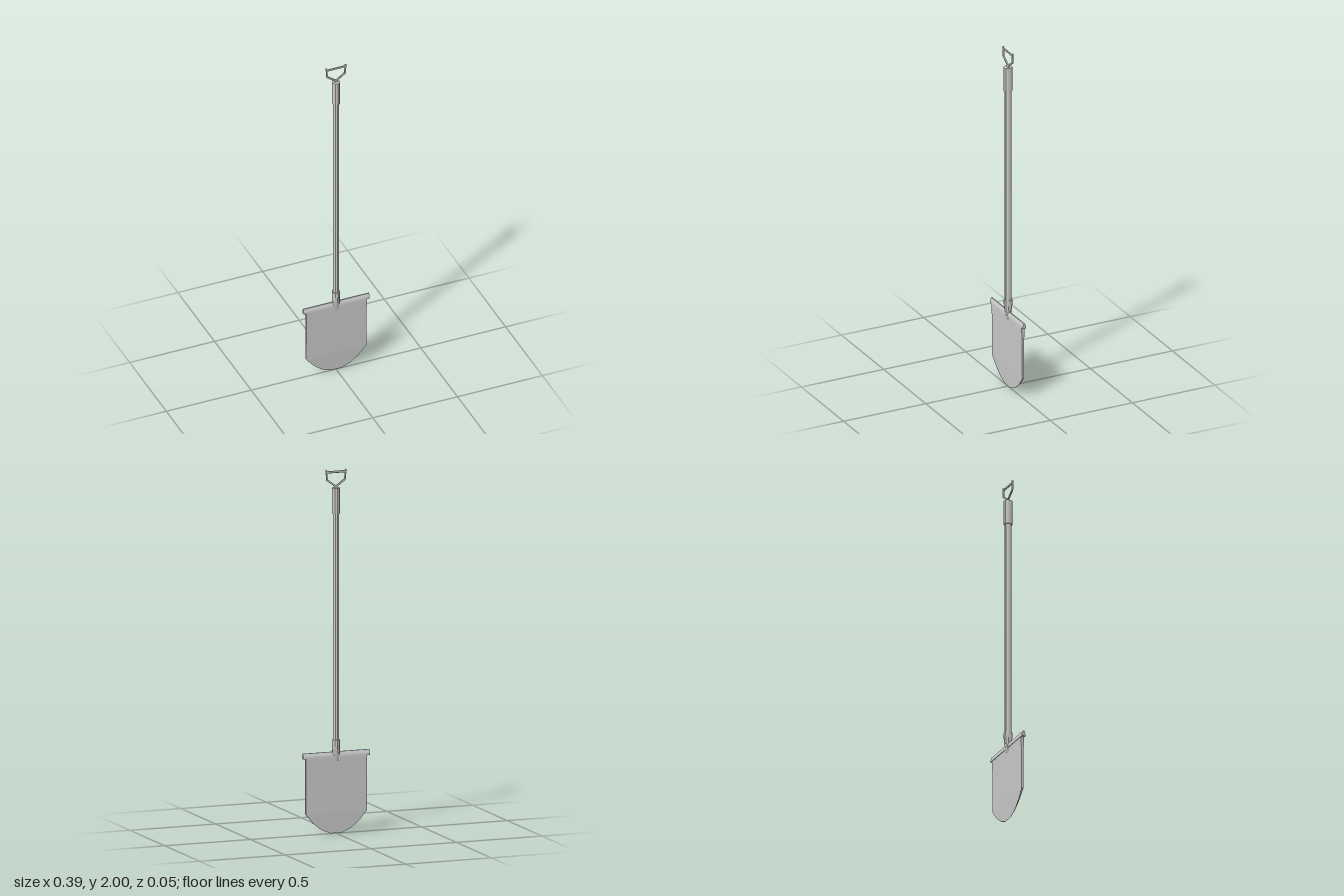
import * as THREE from 'three';

const material = new THREE.MeshStandardMaterial({ color: 0xcccccc, flatShading: true, side: THREE.DoubleSide });

export function createModel() {
  const group = new THREE.Group();
  const add = (name, geometry) => {
    const mesh = new THREE.Mesh(geometry, material);
    mesh.name = name;
    group.add(mesh);
    return mesh;
  };
  const shapeOf = (pts) => new THREE.Shape(pts.map(([a, b]) => new THREE.Vector2(a, b)));

  // Faceted upright rod, slightly narrower across x than z
  const rod = (name, radius, y0, y1) => {
    const g = new THREE.CylinderGeometry(radius, radius, y1 - y0, 10, 4);
    g.scale(0.87, 1, 1).translate(0, (y0 + y1) / 2, 0);
    return add(name, g);
  };

  // Symmetric [half thickness, y] section swept across the width
  const sweep = (name, half, width) => {
    const pts = [...half, ...half.map(([z, y]) => [-z, y]).reverse()];
    const g = new THREE.ExtrudeGeometry(shapeOf(pts), { depth: width, bevelEnabled: false });
    g.translate(0, 0, -width / 2).rotateY(Math.PI / 2);
    return add(name, g);
  };

  // Shaft and upper sleeve
  rod('shaft', 0.0195, 0.45, 1.8);
  rod('gripSleeve', 0.025, 1.76, 1.9);

  // Socket, flattened in z towards the blade
  const socket = rod('socket', 0.025, 0.4, 0.515).geometry;
  const p = socket.attributes.position;
  for (let i = 0; i < p.count; i++) {
    const t = THREE.MathUtils.clamp((p.getY(i) - 0.4) / 0.09, 0, 1);
    p.setZ(i, p.getZ(i) * (0.38 + 0.62 * t));
  }
  socket.computeVertexNormals();

  // Blade body and the foot rest along its top
  sweep('bladeBody', [[0.005, 0.115], [0.007, 0.3], [0.008, 0.425]], 0.356);
  sweep('footRest', [[0.011, 0.42], [0.01, 0.432], [0.003, 0.45]], 0.388);

  // Rounded tip thinning down to the cutting edge
  const curve = [[0.178, 0.115], [0.135, 0.063], [0.085, 0.023], [0.035, 0.002], [0, 0]];
  const outline = [...curve, ...curve.slice(0, -1).reverse().map(([x, y]) => [-x, y])];
  const tip = new THREE.ExtrudeGeometry(shapeOf(outline), { depth: 0.01, bevelEnabled: false });
  tip.translate(0, 0, -0.005);
  const q = tip.attributes.position;
  for (let i = 0; i < q.count; i++) q.setZ(i, q.getZ(i) * (0.08 + 0.92 * q.getY(i) / 0.115));
  tip.computeVertexNormals();
  add('bladeTip', tip);

  // Forked handle arms, mirrored
  const arm = [[0, 1.895], [0.009, 1.895], [0.009, 1.909], [0.056, 1.942], [0.06, 2],
    [0.053, 2], [0.049, 1.948], [0, 1.913]];
  for (const side of [1, -1]) {
    const g = new THREE.ExtrudeGeometry(shapeOf(arm.map(([x, y]) => [x * side, y])), { depth: 0.008, bevelEnabled: false });
    add(side > 0 ? 'leftHandleArm' : 'rightHandleArm', g.translate(0, 0, -0.004));
  }

  // Cross grip
  const grip = new THREE.CylinderGeometry(0.0065, 0.0065, 0.112, 8);
  grip.rotateZ(Math.PI / 2).scale(1, 1, 0.7).translate(0, 1.988, 0);
  add('crossGrip', grip);

  return group;
}
